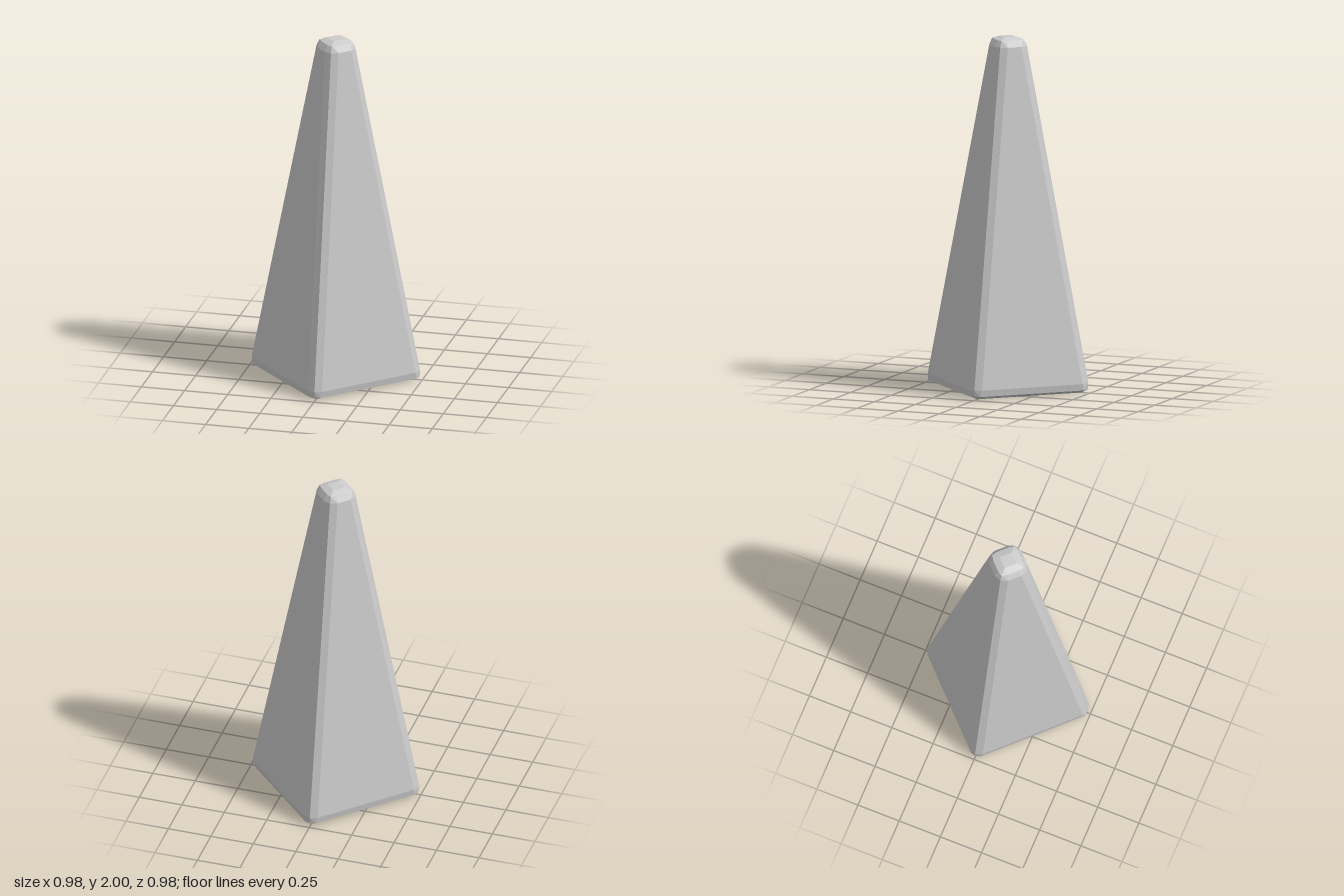
import * as THREE from 'three';

// Horizontal sections, bottom to top: height, corner radius, and the
// bevel point beside each corner (side offset, outward distance).
const SECTIONS = [
  { y: 0, corner: 0.445, side: 0, out: 0.445 },
  { y: 0.018, corner: 0.483, side: 0.03, out: 0.475 },
  { y: 0.055, corner: 0.488, side: 0.04, out: 0.472 },
  { y: 1.95, corner: 0.113, side: 0.04, out: 0.098 },
  { y: 1.985, corner: 0.096, side: 0.028, out: 0.078 },
  { y: 2, corner: 0.05, side: 0, out: 0.05 },
];

// Twelve points: three round each corner of the diamond
function ring({ y, corner, side, out }) {
  const points = [];
  for (let i = 0; i < 4; i++) {
    const turn = (i * Math.PI) / 2;
    for (const [x, z] of [[-side, out], [0, corner], [side, out]]) {
      points.push(new THREE.Vector3(x, y, z).applyAxisAngle(new THREE.Vector3(0, 1, 0), turn));
    }
  }
  return points;
}

function bevelledPyramid() {
  const rings = SECTIONS.map(ring);
  const positions = [];
  const tri = (a, b, c) => {
    const area = b.clone().sub(a).cross(c.clone().sub(a)).length();
    if (area > 1e-7) for (const p of [a, b, c]) positions.push(p.x, p.y, p.z);
  };

  // Sloping sides and bevels
  for (let r = 0; r < rings.length - 1; r++) {
    const lower = rings[r], upper = rings[r + 1];
    for (let i = 0; i < 12; i++) {
      const j = (i + 1) % 12;
      // Mirror the diagonal on alternate strips of each corner
      if (i % 3 === 0) {
        tri(lower[i], lower[j], upper[j]);
        tri(lower[i], upper[j], upper[i]);
      } else {
        tri(lower[i], lower[j], upper[i]);
        tri(lower[j], upper[j], upper[i]);
      }
    }
  }

  // Flat diamond at each end
  const base = rings[0], top = rings[rings.length - 1];
  for (const k of [4, 7]) {
    tri(top[1], top[k], top[k + 3]);
    tri(base[1], base[k + 3], base[k]);
  }

  const geometry = new THREE.BufferGeometry();
  geometry.setAttribute('position', new THREE.Float32BufferAttribute(positions, 3));
  geometry.computeVertexNormals();
  return geometry;
}

export function createModel() {
  const group = new THREE.Group();
  group.name = 'bevelledSpike';
  const material = new THREE.MeshStandardMaterial({ color: 0xcccccc, flatShading: true });
  const body = new THREE.Mesh(bevelledPyramid(), material);
  body.name = 'spikeBody';
  group.add(body);
  return group;
}
